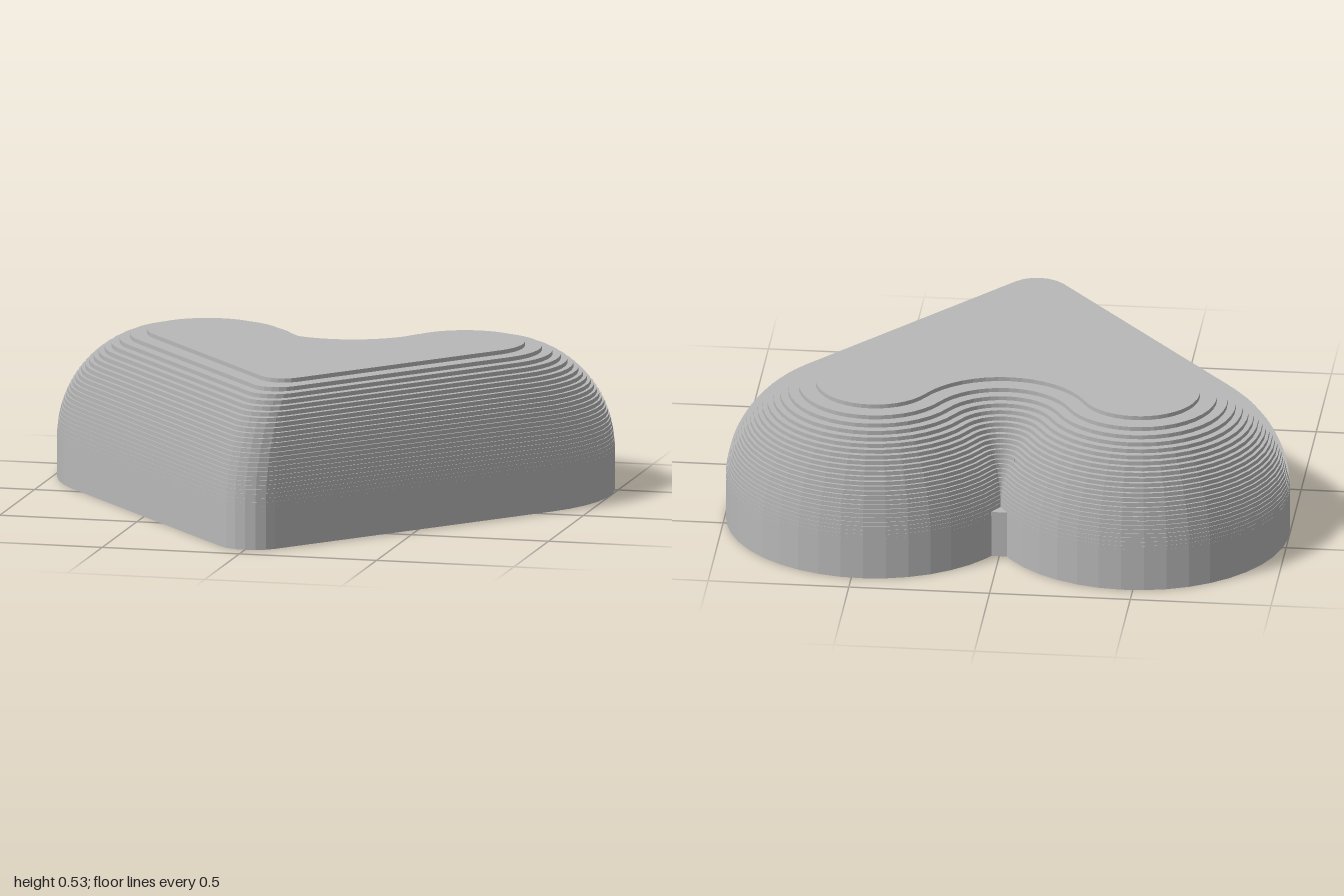
import * as THREE from 'three';

const LOBE = { x: 0.47, z: -0.39, r: 0.53 };
const NOTCH_Z = -0.635;   // where the two lobes meet
const ROUND = 0.38;       // radius of the rounded upper edge
const WALL_TOP = 0.155;   // height of the straight side wall
const TOP = 0.53;
const STEP = 0.015;       // layer thickness
const HOLE = { z: -0.05, r: 0.385 };
const SLOPE = THREE.MathUtils.degToRad(40);

// Heart outline as [x, z] points, inset by d; always the same point count
function heart(d) {
  const r = LOBE.r - d;
  const tipR = 0.13 - 0.14 * d;
  const tipZ = (LOBE.x * Math.cos(SLOPE) + LOBE.z * Math.sin(SLOPE) + r - tipR) / Math.sin(SLOPE);
  const toLobe = Math.atan2(LOBE.z - NOTCH_Z, LOBE.x);
  const half = [];
  const arc = (cx, cz, rad, a0, a1, n) => {
    for (let i = 0; i <= n; i++) {
      const a = a0 + (a1 - a0) * i / n;
      half.push([cx + rad * Math.cos(a), cz + rad * Math.sin(a)]);
    }
  };
  arc(0, tipZ, tipR, Math.PI / 2, SLOPE, 3);
  arc(LOBE.x, LOBE.z, r, SLOPE, toLobe - Math.PI, 22);
  arc(0, NOTCH_Z, d, toLobe, Math.PI / 2, 8);
  const mirrored = half.slice(1, -1).reverse().map(([x, z]) => [-x, z]);
  return [...half, ...mirrored];
}

// Faceted skin joining successive outlines, each given as { d, y }
function skin(stages) {
  const pos = [];
  const loops = stages.map(({ d, y }) => heart(d).map(([x, z]) => [x, y, z]));
  for (let s = 0; s + 1 < loops.length; s++) {
    const lo = loops[s], hi = loops[s + 1], n = lo.length;
    for (let i = 0; i < n; i++) {
      const j = (i + 1) % n;
      pos.push(...lo[i], ...lo[j], ...hi[j], ...lo[i], ...hi[j], ...hi[i]);
    }
  }
  const geo = new THREE.BufferGeometry();
  geo.setAttribute('position', new THREE.Float32BufferAttribute(pos, 3));
  geo.computeVertexNormals();
  return geo;
}

export function createModel() {
  const model = new THREE.Group();
  model.name = 'heart';
  const grey = new THREE.MeshStandardMaterial({ color: 0xb8b8b8 });
  grey.name = 'grey';
  const add = (name, geo) => {
    const mesh = new THREE.Mesh(geo, grey);
    mesh.name = name;
    model.add(mesh);
    return mesh;
  };

  // Straight wall, then thin layers stepping in along a quarter circle
  const stages = [{ d: 0, y: 0 }, { d: 0, y: WALL_TOP }];
  let topInset = 0;
  for (let k = 24; k >= 0; k--) {
    const y = TOP - STEP * k;
    const h = y - WALL_TOP;
    topInset = ROUND - Math.sqrt(ROUND * ROUND - h * h);
    stages.push({ d: topInset, y: y - STEP }, { d: topInset, y });
  }
  add('steppedBody', skin(stages));

  // Flat top
  const topShape = new THREE.Shape(heart(topInset).map(([x, z]) => new THREE.Vector2(x, -z)));
  add('topFace', new THREE.ShapeGeometry(topShape).rotateX(-Math.PI / 2).translate(0, TOP, 0));

  // Underside with the round opening (the notch point repeats, so drop duplicates)
  const outline = heart(0).filter(([x, z], i, all) =>
    i === 0 || Math.hypot(x - all[i - 1][0], z - all[i - 1][1]) > 1e-6);
  const floor = new THREE.Shape(outline.map(([x, z]) => new THREE.Vector2(x, z)));
  floor.holes.push(new THREE.Path().absarc(0, HOLE.z, HOLE.r, 0, Math.PI * 2, true));
  add('underside', new THREE.ShapeGeometry(floor, 24).rotateX(Math.PI / 2));

  // Socket: chamfered mouth, bore with one groove, closed end
  const profile = [[0, 0.31], [0.32, 0.31], [0.32, 0.21], [0.34, 0.195], [0.34, 0.185],
    [0.32, 0.17], [0.32, 0.08], [HOLE.r, 0]].map(([r, y]) => new THREE.Vector2(r, y));
  const socket = new THREE.LatheGeometry(profile, 48).toNonIndexed();
  socket.computeVertexNormals();
  add('socket', socket).position.z = HOLE.z;

  // Small web filling the foot of the notch
  const web = new THREE.Shape([[-0.04, 0.68], [0, 0.6], [0.04, 0.68]]
    .map(([x, y]) => new THREE.Vector2(x, y)));
  add('notchWeb', new THREE.ExtrudeGeometry(web, { depth: 0.17, bevelEnabled: false })
    .rotateX(-Math.PI / 2));

  return model;
}
